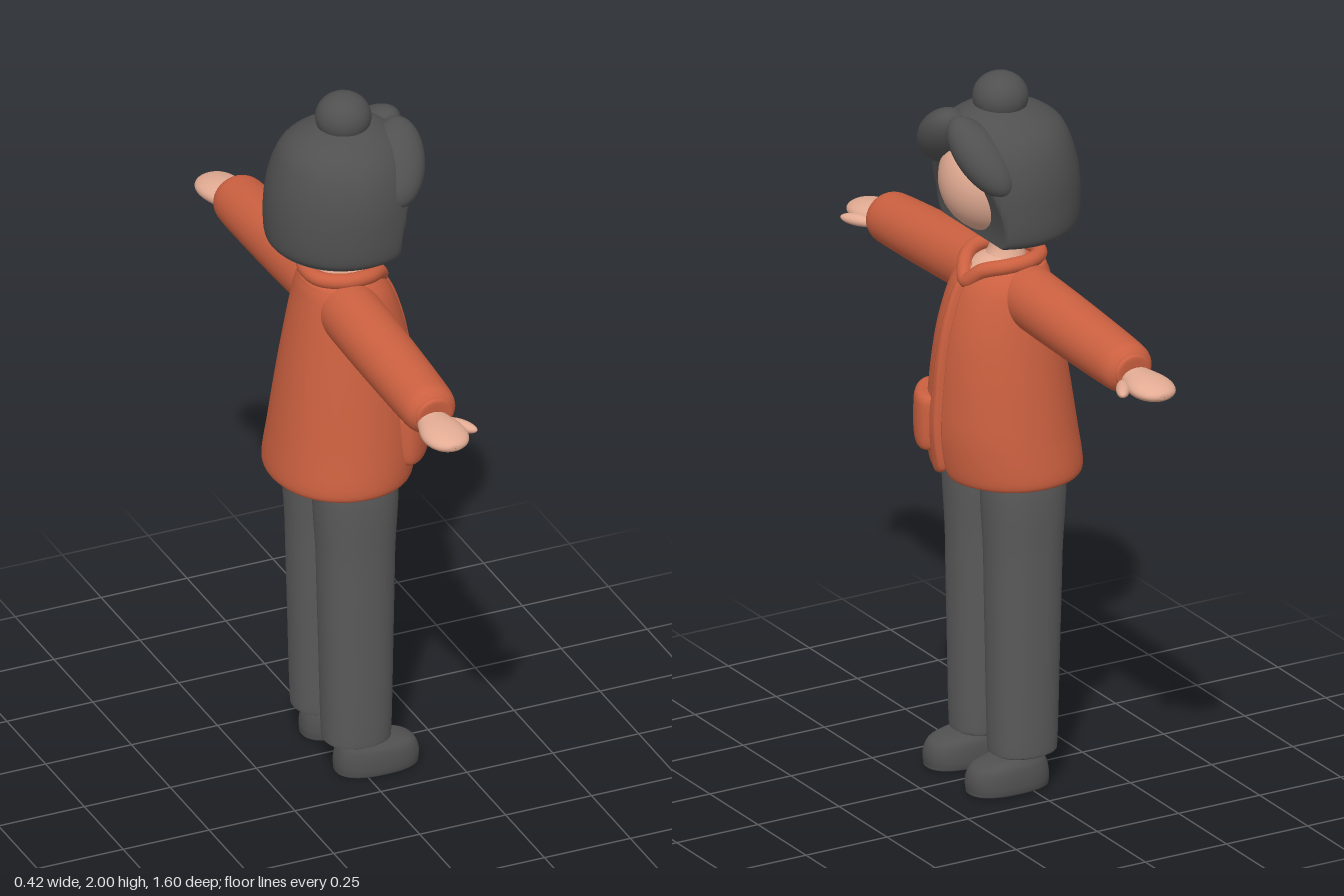
import * as THREE from 'three';

const mat = (name, color) => Object.assign(new THREE.MeshStandardMaterial({ color }), { name });

// Smooth closed body from sections [y, rx, rz, cz]; p squares the outline, cluster packs points at the front
function loft(sections, { n = 40, p = 2, steps = 5, cluster = 0, rule = null } = {}) {
  const curve = (f) => new THREE.CatmullRomCurve3(sections.map(f), false, 'catmullrom', 0.5);
  const size = curve((s) => new THREE.Vector3(s[0], s[1], s[2]));
  const shift = curve((s) => new THREE.Vector3(s[3] || 0, 0, 0));
  const rows = (sections.length - 1) * steps;
  const pos = [], index = [];
  const bulge = (v) => Math.sign(v) * Math.abs(v) ** (2 / p);
  const v = new THREE.Vector3();
  for (let i = 0; i <= rows; i++) {
    const s = size.getPoint(i / rows), c = shift.getPoint(i / rows).x;
    for (let j = 0; j < n; j++) {
      const t = (j / n) * Math.PI * 2, a = t - cluster * Math.sin(t);
      v.set(s.y * bulge(Math.sin(a)), s.x, c + s.z * bulge(Math.cos(a)));
      if (rule) rule(v);
      pos.push(v.x, v.y, v.z);
      if (i < rows) {
        const k = (j + 1) % n, q = i * n;
        index.push(q + j, q + k, q + n + k, q + j, q + n + k, q + n + j);
      }
    }
  }
  const g = new THREE.BufferGeometry();
  g.setAttribute('position', new THREE.Float32BufferAttribute(pos, 3));
  g.setIndex(index);
  g.computeVertexNormals();
  return g;
}

export function createModel() {
  const skin = mat('skin', 0xe2ab93);
  const orange = mat('jacketOrange', 0xcb6040);
  const hairGrey = mat('hairGrey', 0x505050);
  const trouserGrey = mat('trouserGrey', 0x5a5a5a);

  const model = new THREE.Group();
  model.name = 'standingFigure';
  const figure = new THREE.Group();
  figure.name = 'figure';
  figure.rotation.y = Math.PI / 2; // the figure looks along +x
  model.add(figure);

  const add = (name, geo, material, x = 0, y = 0, z = 0) => {
    const m = new THREE.Mesh(geo, material);
    m.name = name;
    m.position.set(x, y, z);
    figure.add(m);
    return m;
  };
  const ball = (rx, ry, rz) => new THREE.SphereGeometry(1, 40, 28).scale(rx, ry, rz);

  // Head and neck
  add('head', ball(0.15, 0.15, 0.152), skin, 0, 1.705, 0.02);
  add('neck', loft([[1.42, 0.075, 0.08, 0], [1.48, 0.052, 0.055, -0.012], [1.52, 0.04, 0.044, -0.015],
    [1.6, 0.036, 0.04, -0.015]]), skin);
  add('chest', ball(0.085, 0.055, 0.088), skin, 0, 1.435, 0.008);

  // Bob of hair, cut back around the face
  const hairline = (y) => 0.09 + 0.06 * THREE.MathUtils.smoothstep(y, 1.58, 1.86);
  add('hair', loft([
    [1.575, 0.001, 0.001, 0], [1.565, 0.16, 0.16, -0.01], [1.565, 0.185, 0.185, 0], [1.59, 0.203, 0.207, 0],
    [1.66, 0.207, 0.212, 0], [1.74, 0.202, 0.205, 0], [1.81, 0.183, 0.186, 0], [1.86, 0.15, 0.16, 0],
    [1.895, 0.102, 0.115, 0.005], [1.915, 0.05, 0.06, 0.01], [1.92, 0.001, 0.001, 0.01],
  ], { n: 72, rule: (v) => { v.z = Math.min(v.z, hairline(v.y)); } }), hairGrey);
  add('hairBun', ball(0.075, 0.068, 0.075), hairGrey, 0, 1.932, 0.003);

  // Two swept locks parted in the middle
  for (const s of [-1, 1]) {
    const lock = add(s < 0 ? 'largeFringeLock' : 'smallFringeLock',
      ball(0.128, 0.06, s < 0 ? 0.075 : 0.066), hairGrey, s * 0.092, 1.812, 0.118);
    lock.rotation.set(0, s * 0.4, -s * 0.76, 'YZX');
  }

  // Jacket with a groove down the front and a raised placket
  add('jacket', loft([
    [0.895, 0.001, 0.001, 0], [0.885, 0.18, 0.16, -0.015], [0.872, 0.205, 0.18, -0.015], [0.895, 0.22, 0.195, -0.014],
    [1.0, 0.208, 0.195, -0.001], [1.1, 0.195, 0.186, 0.004], [1.2, 0.181, 0.174, 0.007], [1.3, 0.165, 0.157, 0.007],
    [1.4, 0.145, 0.131, 0.0], [1.45, 0.122, 0.107, -0.012], [1.468, 0.09, 0.08, -0.02], [1.46, 0.001, 0.001, 0],
  ], {
    n: 128, cluster: 0.75, p: 2.1,
    rule: (v) => {
      if (v.z < 0.06) return;
      const width = 0.05 - 0.05 * (v.y - 0.9);
      if (v.x < 0 && v.x > -width) v.z += 0.006;
      v.z -= 0.025 * Math.exp(-((v.x / 0.007) ** 2));
      if (v.y < 0.96) v.y += 0.035 * Math.exp(-Math.abs(v.x) / 0.015) * (0.96 - v.y) / 0.09;
    },
  }), orange);

  // Rolled collar meeting in a V
  const half = [[0.045, 1.462, 0.085], [0.085, 1.478, 0.035], [0.09, 1.482, -0.03], [0.055, 1.482, -0.085]];
  const path = [[0, 1.425, 0.108], ...half, [0, 1.482, -0.1],
    ...half.slice().reverse().map(([x, y, z]) => [-x, y, z])].map((q) => new THREE.Vector3(...q));
  add('collar', new THREE.TubeGeometry(new THREE.CatmullRomCurve3(path, true), 96, 0.021, 14, true), orange);

  // Pocket, bent to follow the jacket
  const pocket = add('pocket', loft([
    [-0.078, 0.001, 0.001], [-0.078, 0.06, 0.016], [-0.068, 0.08, 0.028], [-0.03, 0.086, 0.034], [0.04, 0.086, 0.034],
    [0.068, 0.082, 0.03], [0.079, 0.064, 0.018], [0.079, 0.001, 0.001],
  ], { n: 64, p: 3.5, rule: (v) => { v.z -= 2.2 * v.x * v.x; } }), orange, -0.126, 1.01, 0.157);
  pocket.rotation.y = -0.6;

  for (const s of [-1, 1]) {
    // Sleeve and cuff
    const sleeve = loft([
      [-0.05, 0.001, 0.001], [-0.05, 0.06, 0.06], [-0.02, 0.082, 0.08], [0.1, 0.083, 0.083], [0.3, 0.079, 0.081],
      [0.47, 0.073, 0.077], [0.52, 0.069, 0.072], [0.54, 0.056, 0.06], [0.545, 0.05, 0.053], [0.553, 0.042, 0.046],
      [0.553, 0.001, 0.001],
    ]).rotateZ(-s * Math.PI / 2);
    add('sleeve', sleeve, orange, s * 0.1, 1.391, -0.023).rotation.z = -s * 0.055;

    // Mitten hand with thumb
    const hand = loft([
      [-0.08, 0.001, 0.001], [-0.08, 0.025, 0.03], [-0.04, 0.028, 0.048], [0.01, 0.03, 0.061], [0.05, 0.026, 0.059],
      [0.08, 0.019, 0.044], [0.095, 0.01, 0.022], [0.098, 0.001, 0.001],
    ]).rotateZ(-s * Math.PI / 2);
    add('hand', hand, skin, s * 0.702, 1.345, -0.03).rotation.z = -s * 0.04;
    const thumb = add('thumb', ball(0.053, 0.016, 0.019), skin, s * 0.69, 1.34, 0.033);
    thumb.rotation.y = -s * 0.55;

    // Trouser leg
    add('trouserLeg', loft([
      [0.1, 0.001, 0.001, -0.005], [0.092, 0.06, 0.07, -0.005], [0.1, 0.077, 0.088, -0.005],
      [0.13, 0.083, 0.094, -0.005], [0.4, 0.089, 0.1, -0.006], [0.65, 0.094, 0.105, -0.007],
      [0.92, 0.095, 0.108, -0.008], [0.95, 0.001, 0.001, -0.008],
    ], { p: 2.25 }), trouserGrey, s * 0.1);

    // Shoe
    add('shoe', loft([
      [0.0, 0.001, 0.001, 0.048], [0.0, 0.06, 0.104, 0.048], [0.012, 0.072, 0.117, 0.048],
      [0.045, 0.072, 0.117, 0.048], [0.073, 0.066, 0.106, 0.044], [0.088, 0.056, 0.082, 0.028],
      [0.1, 0.05, 0.058, 0.0], [0.14, 0.048, 0.055, -0.005],
    ], { p: 2.4 }), hairGrey, s * 0.11);
  }
  return model;
}
